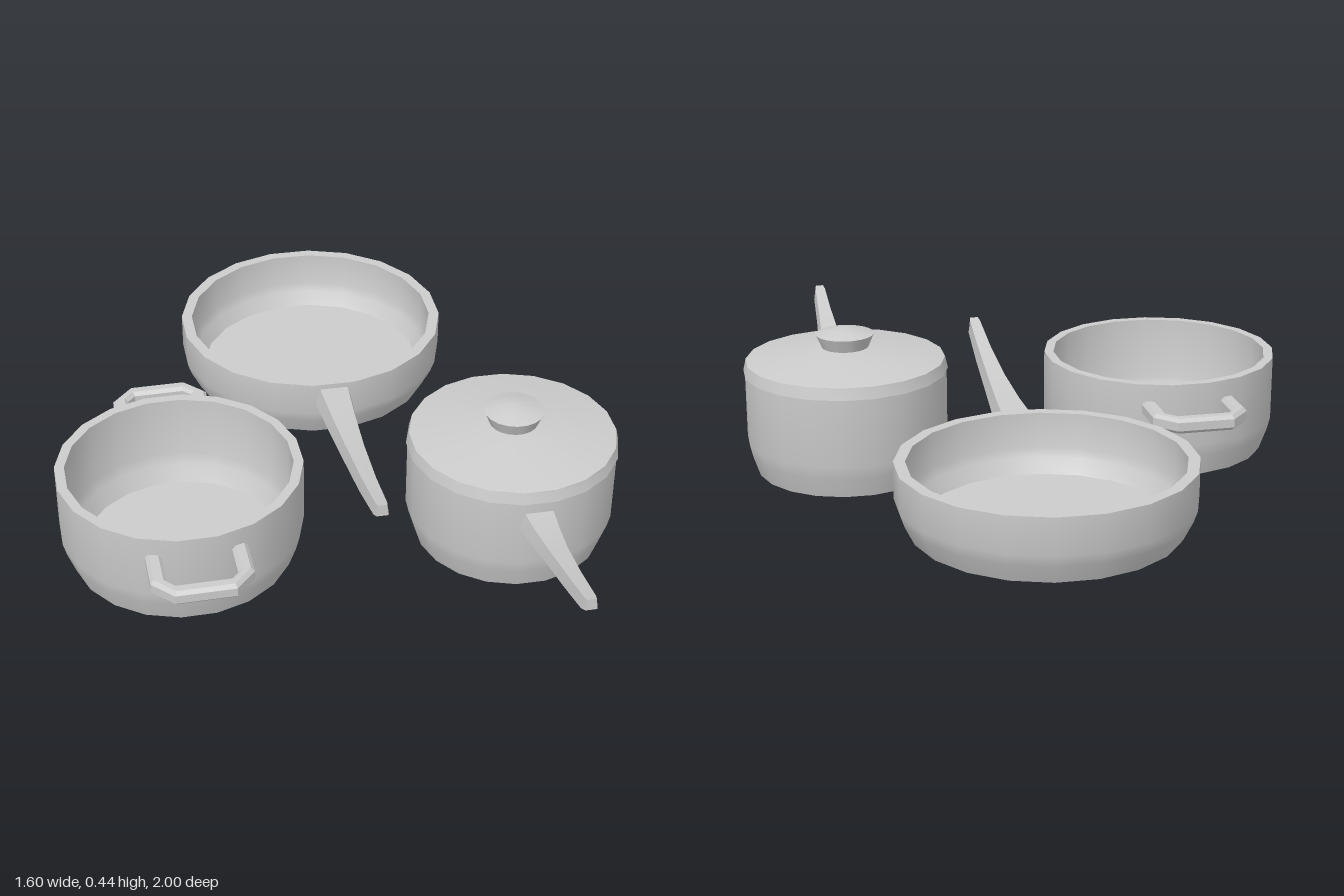
import * as THREE from 'three';
import { toCreasedNormals } from 'three/addons/utils/BufferGeometryUtils.js';

const material = new THREE.MeshStandardMaterial({ color: 0xcccccc });
const SIDES = 20;

function addMesh(parent, name, geometry, crease = 0.7) {
  const mesh = new THREE.Mesh(toCreasedNormals(geometry, crease), material);
  mesh.name = name;
  parent.add(mesh);
  return mesh;
}

// Round part from [radius, height] points, listed from bottom centre outwards
function turned(parent, name, profile) {
  const points = profile.map(([r, y]) => new THREE.Vector2(r, y));
  return addMesh(parent, name, new THREE.LatheGeometry(points, SIDES, Math.PI / SIDES));
}

// Open vessel with a tapered foot, flat rim and hollow inside
function vessel(parent, name, { radius, foot, inner, floor, bottom, bend, top }) {
  const base = bottom + 0.02;
  return turned(parent, name, [
    [0, bottom], [foot, bottom],
    [radius - (radius - foot) * 0.3, bottom + (bend - bottom) * 0.62],
    [radius, bend], [radius, top], [inner, top], [inner, bend],
    [inner - (inner - floor) * 0.3, base + (bend - base) * 0.62],
    [floor, base], [0, base],
  ]);
}

// Long tapering handle from [z, width, bottom, top] sections; top narrower than bottom
function longHandle(parent, sections) {
  const last = sections.length - 1;
  const geometry = new THREE.BoxGeometry(1, 1, 1, 1, 1, last);
  const p = geometry.attributes.position;
  for (let i = 0; i < p.count; i++) {
    const [z, width, bottom, top] = sections[Math.round((p.getZ(i) + 0.5) * last)];
    const upper = p.getY(i) > 0;
    p.setXYZ(i, p.getX(i) * width * (upper ? 0.75 : 1), upper ? top : bottom, z);
  }
  return addMesh(parent, 'longHandle', geometry, 0.4);
}

// U-shaped side handle with chamfered corners, lying flat and pointing to +z
function loopHandle(parent, name) {
  const b = 0.01;
  const outline = [
    [0.14, 0.31], [0.14, 0.435], [0.083, 0.497], [-0.083, 0.497], [-0.14, 0.435], [-0.14, 0.31],
    [-0.095, 0.31], [-0.095, 0.43], [-0.072, 0.455], [0.072, 0.455], [0.095, 0.43], [0.095, 0.31],
  ];
  const shape = new THREE.Shape(outline.map(([x, z]) => new THREE.Vector2(x, z)));
  const geometry = new THREE.ExtrudeGeometry(shape, {
    depth: 0.025, bevelEnabled: true, bevelSize: b, bevelOffset: -b, bevelThickness: b, bevelSegments: 1,
  });
  geometry.rotateX(Math.PI / 2);
  geometry.translate(0, 0.258, 0);
  return addMesh(parent, name, geometry, 0.4);
}

export function createModel() {
  const model = new THREE.Group();
  model.name = 'cookwareSet';

  // Frying pan at the back
  const pan = new THREE.Group();
  pan.name = 'fryingPan';
  pan.position.set(0.057, 0, -0.593);
  vessel(pan, 'panBody', {
    radius: 0.408, foot: 0.37, inner: 0.376, floor: 0.34, bottom: 0.093, bend: 0.18, top: 0.284,
  });
  longHandle(pan, [
    [0.385, 0.114, 0.216, 0.268], [0.55, 0.092, 0.224, 0.27], [0.73, 0.07, 0.24, 0.284],
    [0.93, 0.053, 0.27, 0.313], [1.095, 0.042, 0.312, 0.35], [1.113, 0.032, 0.32, 0.355],
  ]);
  model.add(pan);

  // Open casserole with two loop handles
  const casserole = new THREE.Group();
  casserole.name = 'casserole';
  casserole.position.set(-0.456, 0, 0.183);
  casserole.rotation.y = 0.018;
  vessel(casserole, 'casseroleBody', {
    radius: 0.35, foot: 0.318, inner: 0.322, floor: 0.285, bottom: 0.028, bend: 0.13, top: 0.32,
  });
  loopHandle(casserole, 'frontLoopHandle');
  loopHandle(casserole, 'backLoopHandle').rotation.y = Math.PI;
  model.add(casserole);

  // Saucepan with lid
  const saucepan = new THREE.Group();
  saucepan.name = 'saucepan';
  saucepan.position.set(0.498, 0, 0.226);
  vessel(saucepan, 'saucepanBody', {
    radius: 0.301, foot: 0.272, inner: 0.275, floor: 0.245, bottom: 0, bend: 0.1, top: 0.312,
  });
  turned(saucepan, 'lid', [[0, 0.306], [0.305, 0.306], [0.297, 0.341], [0.075, 0.376], [0, 0.38]]);
  turned(saucepan, 'lidKnob', [[0, 0.36], [0.063, 0.36], [0.087, 0.416], [0.045, 0.428], [0, 0.436]]);
  longHandle(saucepan, [
    [0.28, 0.112, 0.225, 0.272], [0.37, 0.092, 0.232, 0.274], [0.48, 0.07, 0.25, 0.288],
    [0.62, 0.053, 0.277, 0.316], [0.755, 0.042, 0.312, 0.348], [0.774, 0.032, 0.32, 0.354],
  ]);
  model.add(saucepan);

  return model;
}
